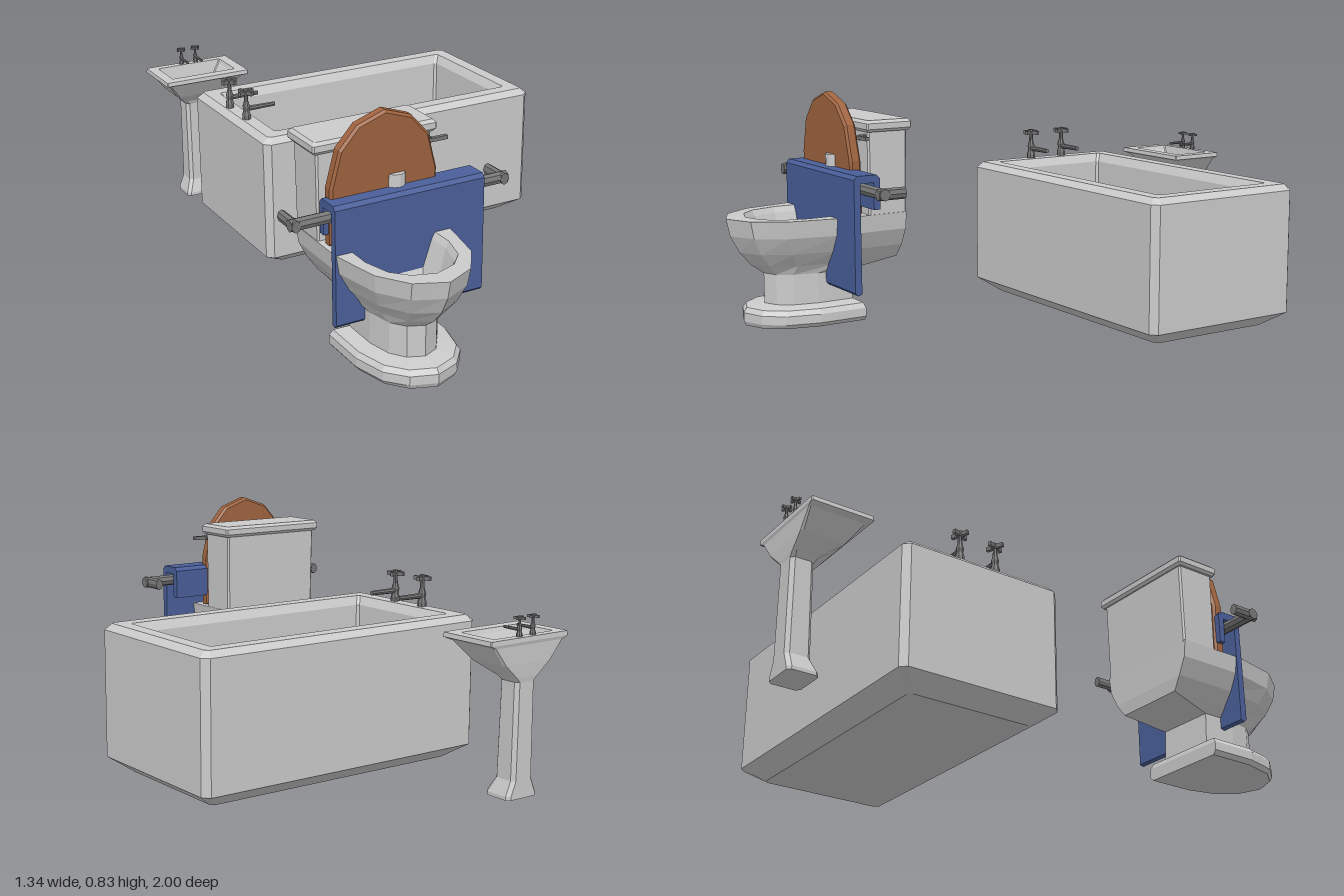
import * as THREE from 'three';

const mat = (color) => new THREE.MeshStandardMaterial({ color, flatShading: true });
const ceramic = mat(0xcccccc), metal = mat(0x777777), dark = mat(0x555555);
const wood = mat(0xa0643f), cloth = mat(0x4a5f9a), teal = mat(0x3f8a8a);

function add(parent, name, geo, material, x = 0, y = 0, z = 0) {
  const m = new THREE.Mesh(geo, material);
  m.name = name;
  m.position.set(x, y, z);
  parent.add(m);
  return m;
}

// Skins a stack of equal-length rings (counter-clockwise from above) with optional end caps
function loft(rings, capStart = true, capEnd = true) {
  const pos = [], n = rings[0].length;
  const tri = (...p) => p.forEach((v) => pos.push(...v));
  for (let r = 0; r < rings.length - 1; r++) {
    const a = rings[r], b = rings[r + 1];
    for (let i = 0; i < n; i++) {
      const j = (i + 1) % n;
      tri(a[i], a[j], b[j]);
      tri(a[i], b[j], b[i]);
    }
  }
  const cap = (ring, up) => {
    for (let i = 1; i < n - 1; i++) up ? tri(ring[0], ring[i], ring[i + 1]) : tri(ring[0], ring[i + 1], ring[i]);
  };
  if (capStart) cap(rings[0], false);
  if (capEnd) cap(rings[rings.length - 1], true);
  const g = new THREE.BufferGeometry();
  g.setAttribute('position', new THREE.Float32BufferAttribute(pos, 3));
  g.computeVertexNormals();
  return g;
}

// Rectangle ring with chamfered corners
const rect = (y, x0, x1, z0, z1, c) => [
  [x1, z1 - c], [x1, z0 + c], [x1 - c, z0], [x0 + c, z0],
  [x0, z0 + c], [x0, z1 - c], [x0 + c, z1], [x1 - c, z1],
].map(([x, z]) => [x, y, z]);

// D outline: flat at the back, faceted round at the front (unit half width, unit depth)
const D = [[1, 0.45], [1, 0], [-1, 0], [-1, 0.45], [-0.83, 0.75], [-0.5, 0.92], [0, 1], [0.5, 0.92], [0.83, 0.75]];
const dRing = ([y, half, front, back]) => D.map(([u, v]) => [u * half, y, back + v * (front - back)]);

// Tap with spout along +x and a cross handle
function tap(parent, name, x, y, z, scale, turn) {
  const g = new THREE.Group();
  g.name = name;
  const profile = [[0, 0], [0.016, 0], [0.016, 0.015], [0.011, 0.03], [0.014, 0.045], [0.008, 0.065], [0.007, 0.09], [0, 0.09]];
  add(g, 'tapColumn', new THREE.LatheGeometry(profile.map((p) => new THREE.Vector2(...p)), 8), metal);
  const spout = new THREE.CylinderGeometry(0.008, 0.01, 0.11, 8).rotateZ(-Math.PI / 2);
  add(g, 'tapSpout', spout, metal, 0.055, 0.037, 0);
  for (const a of [0.35, 0.35 + Math.PI / 2]) {
    add(g, 'tapHandle', new THREE.BoxGeometry(0.064, 0.014, 0.012), metal, 0, 0.098, 0).rotation.y = a;
  }
  add(g, 'tapCap', new THREE.CylinderGeometry(0.01, 0.012, 0.02, 8), metal, 0, 0.1, 0);
  g.position.set(x, y, z);
  g.rotation.y = turn;
  g.scale.setScalar(scale);
  parent.add(g);
}

function bathtub() {
  const g = new THREE.Group();
  g.name = 'bathtub';
  // [height, inset, corner chamfer] over the outside, the rim, then down the inside
  const rings = [
    [0.035, 0.07, 0.015], [0.085, 0, 0.022], [0.51, 0, 0.022], [0.53, 0.022, 0.012],
    [0.53, 0.07, 0.008], [0.5, 0.087, 0.008], [0.13, 0.095, 0.01],
  ].map(([y, i, c]) => rect(y, -0.43 + i, 0.667 - i, -0.635 + i, -0.03 - i, c));
  add(g, 'tubShell', loft(rings), ceramic);
  add(g, 'tubDrain', new THREE.CylinderGeometry(0.04, 0.04, 0.012, 16), dark, -0.2, 0.133, -0.335);
  for (const z of [-0.405, -0.265]) tap(g, 'tubTap', -0.39, 0.53, z, 1, 0);
  return g;
}

function sink() {
  const g = new THREE.Group();
  g.name = 'sink';
  // [height, half width, back, front, chamfer] from the foot up, over the rim and into the basin
  const rings = [
    [0, 0.065, -0.985, -0.88, 0.012], [0.012, 0.065, -0.985, -0.88, 0.012],
    [0.06, 0.045, -0.985, -0.9, 0.012], [0.38, 0.042, -0.985, -0.906, 0.012],
    [0.395, 0.055, -0.987, -0.9, 0.01], [0.44, 0.105, -0.99, -0.838, 0.008],
    [0.5, 0.15, -0.992, -0.8, 0.005], [0.51, 0.17, -0.995, -0.778, 0.003],
    [0.525, 0.168, -0.994, -0.78, 0.003], [0.525, 0.13, -0.966, -0.82, 0.004],
    [0.51, 0.124, -0.963, -0.826, 0.004], [0.45, 0.083, -0.95, -0.86, 0.004],
  ].map(([y, h, b, f, c]) => rect(y, -0.31 - h, -0.31 + h, b, f, c));
  add(g, 'basinAndPedestal', loft(rings), ceramic);
  add(g, 'sinkDrain', new THREE.CylinderGeometry(0.014, 0.014, 0.008, 10), dark, -0.31, 0.452, -0.907);
  for (const x of [-0.337, -0.278]) tap(g, 'sinkTap', x, 0.525, -0.977, 0.6, -Math.PI / 2);
  return g;
}

function toilet() {
  const g = new THREE.Group();
  g.name = 'toilet';
  // Foot, stem, outer bowl, rim and inner bowl: [height, half width, front, back]
  const bowl = [
    [0.045, 0.155, 0.94, 0.565], [0.06, 0.167, 0.947, 0.565], [0.09, 0.167, 0.947, 0.565],
    [0.107, 0.155, 0.935, 0.57], [0.115, 0.105, 0.87, 0.585], [0.22, 0.105, 0.87, 0.59],
    [0.253, 0.132, 0.915, 0.425], [0.3, 0.165, 0.955, 0.42], [0.36, 0.195, 0.987, 0.42],
    [0.42, 0.203, 1, 0.42], [0.42, 0.147, 0.93, 0.625], [0.4, 0.135, 0.92, 0.635], [0.28, 0.094, 0.875, 0.7],
  ];
  add(g, 'bowl', loft(bowl.map(dRing), true, false), ceramic);
  add(g, 'water', loft([[0.275, 0.094, 0.875, 0.7], [0.28, 0.094, 0.875, 0.7]].map(dRing)), teal);

  // Cistern and its cover
  add(g, 'cistern', loft([rect(0.4, -0.2, 0.2, 0.42, 0.563, 0.006), rect(0.71, -0.203, 0.203, 0.415, 0.565, 0.006)]), ceramic);
  const cover = [[0.705, 0.008], [0.715, 0], [0.735, 0], [0.745, 0.01]];
  add(g, 'cisternCover', loft(cover.map(([y, i]) => rect(y, -0.218 + i, 0.218 - i, 0.403 + i, 0.575 - i, 0.005))), ceramic);

  // Flush lever
  add(g, 'flushPivot', new THREE.CylinderGeometry(0.01, 0.01, 0.03, 8).rotateX(Math.PI / 2), metal, 0.185, 0.687, 0.575);
  add(g, 'flushLever', new THREE.BoxGeometry(0.067, 0.013, 0.014), metal, 0.212, 0.687, 0.588);

  // Raised lid
  const shape = new THREE.Shape(D.slice().reverse().map(([u, v]) => new THREE.Vector2(u * 0.18, 0.008 + v * 0.392)));
  const lid = new THREE.ExtrudeGeometry(shape, { depth: 0.026, bevelSize: 0.008, bevelThickness: 0.008, bevelSegments: 1 });
  add(g, 'lid', lid, wood, 0, 0.423, 0.588).rotation.x = 0.02;

  // Roll standing between the lid and the towel
  add(g, 'roll', new THREE.CylinderGeometry(0.033, 0.033, 0.16, 12), ceramic, 0.043, 0.54, 0.612);
  g.position.x = -0.345;
  return g;
}

function towelRail() {
  const g = new THREE.Group();
  g.name = 'towelRail';
  // Bar with returns at both ends
  const bar = (len) => new THREE.CylinderGeometry(0.02, 0.02, len, 8);
  add(g, 'railBar', bar(0.775).rotateZ(Math.PI / 2), metal, -0.2875, 0.527, 0.63);
  for (const x of [-0.66, 0.083]) {
    add(g, 'railEnd', bar(0.1).rotateX(Math.PI / 2).scale(0.75, 1, 1), metal, x, 0.527, 0.6);
  }
  // Towel folded over the bar, long flap in front
  const section = [
    [0.66, 0.18], [0.675, 0.175], [0.685, 0.185], [0.683, 0.565], [0.672, 0.578], [0.6, 0.578],
    [0.587, 0.565], [0.587, 0.46], [0.61, 0.46], [0.61, 0.552], [0.66, 0.552],
  ];
  const shape = new THREE.Shape(section.map(([z, y]) => new THREE.Vector2(z, y)));
  const towel = new THREE.ExtrudeGeometry(shape, { depth: 0.532, bevelEnabled: false });
  towel.rotateY(-Math.PI / 2);
  add(g, 'towel', towel, cloth, -0.018);
  return g;
}

export function createModel() {
  const model = new THREE.Group();
  model.name = 'bathroomSet';
  model.add(bathtub(), sink(), toilet(), towelRail());
  return model;
}
